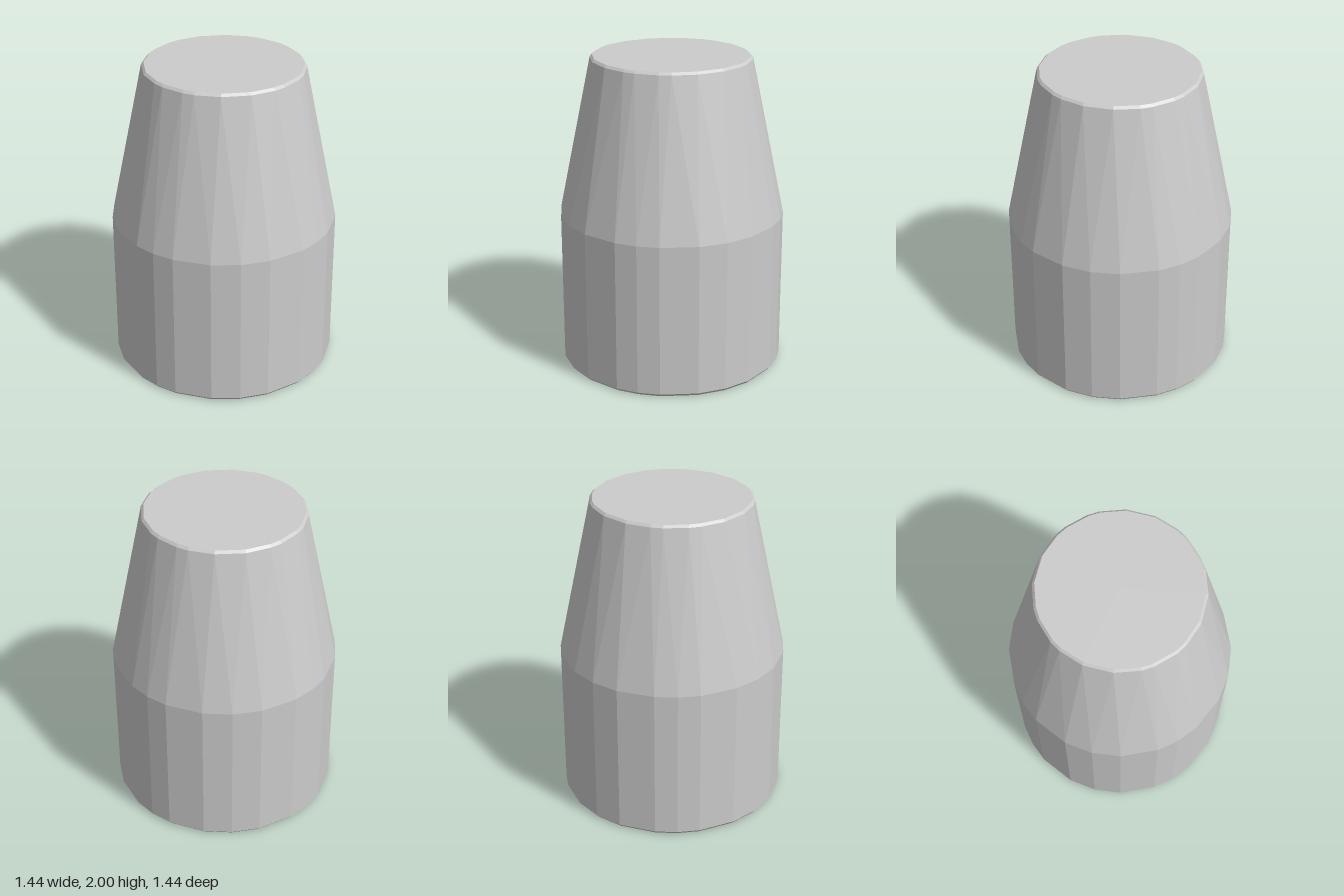
import * as THREE from 'three';

// Corner angles within one quarter turn, in degrees: wide body and narrow top
const bodyAngles = [0, 14.6, 33.7, 45, 56.3, 75.4];
const topAngles = [10.2, 28, 36.5, 53.5, 62, 79.8];

// Ring of 24 corners made by repeating a quarter four times
function ring(radius, y, quarter) {
  const points = [];
  for (let q = 0; q < 4; q++) {
    for (const deg of quarter) {
      const a = THREE.MathUtils.degToRad(deg + q * 90);
      points.push([radius * Math.sin(a), y, radius * Math.cos(a)]);
    }
  }
  return points;
}

// Faceted skin through the rings, closed by flat caps
function loft(rings) {
  const pos = [];
  const tri = (...corners) => corners.forEach((c) => pos.push(...c));
  const n = rings[0].length;
  const bottom = rings[0];
  const top = rings[rings.length - 1];
  for (let k = 0; k < n; k++) {
    const j = (k + 1) % n;
    for (let i = 0; i < rings.length - 1; i++) {
      const lo = rings[i], hi = rings[i + 1];
      tri(lo[k], lo[j], hi[k]);
      tri(hi[k], lo[j], hi[j]);
    }
    tri([0, bottom[0][1], 0], bottom[j], bottom[k]);
    tri([0, top[0][1], 0], top[k], top[j]);
  }
  const geometry = new THREE.BufferGeometry();
  geometry.setAttribute('position', new THREE.Float32BufferAttribute(pos, 3));
  geometry.computeVertexNormals();
  return geometry;
}

export function createModel() {
  const group = new THREE.Group();
  group.name = 'taperedPlug';
  const material = new THREE.MeshStandardMaterial({ color: 0xcccccc, flatShading: true });

  // Straight base, tapered upper half, small bevels at both ends
  const body = new THREE.Mesh(loft([
    ring(0.703, 0, bodyAngles),
    ring(0.718, 0.018, bodyAngles),
    ring(0.718, 0.99, bodyAngles),
    ring(0.507, 1.985, topAngles),
    ring(0.492, 2, topAngles),
  ]), material);
  body.name = 'taperedBody';
  group.add(body);
  return group;
}
